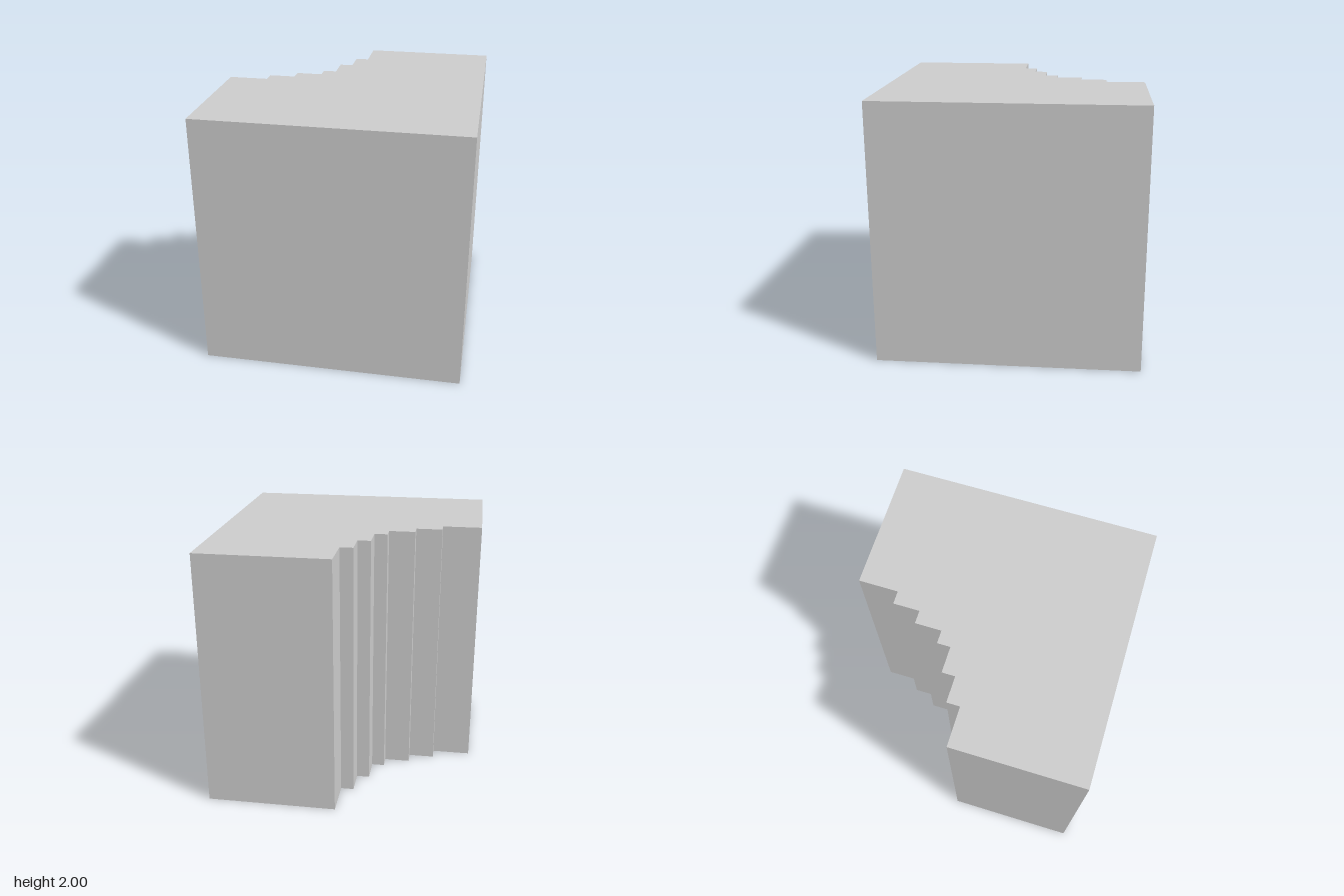
import * as THREE from 'three';

export function createModel() {
  const group = new THREE.Group();
  group.name = 'steppedCornerBlock';

  // Plan outline as [x, z]: a square whose back corner is cut by a staircase
  const steps = [
    [0, -1], [0, -0.7], [-0.1, -0.7], [-0.1, -0.5], [-0.2, -0.5], [-0.2, -0.3],
    [-0.3, -0.3], [-0.3, -0.2], [-0.5, -0.2], [-0.5, -0.1], [-0.7, -0.1], [-0.7, 0], [-1, 0],
  ];
  const outline = [[-1, 1], [1, 1], [1, -1], ...steps];
  const plan = new THREE.Shape(outline.map(([x, z]) => new THREE.Vector2(x, -z)));

  // Raise the plan to full height, standing on the ground
  const geometry = new THREE.ExtrudeGeometry(plan, { depth: 2, bevelEnabled: false });
  geometry.rotateX(-Math.PI / 2);

  const block = new THREE.Mesh(
    geometry,
    new THREE.MeshStandardMaterial({ color: 0xcccccc, flatShading: true })
  );
  block.name = 'block';
  group.add(block);
  return group;
}
